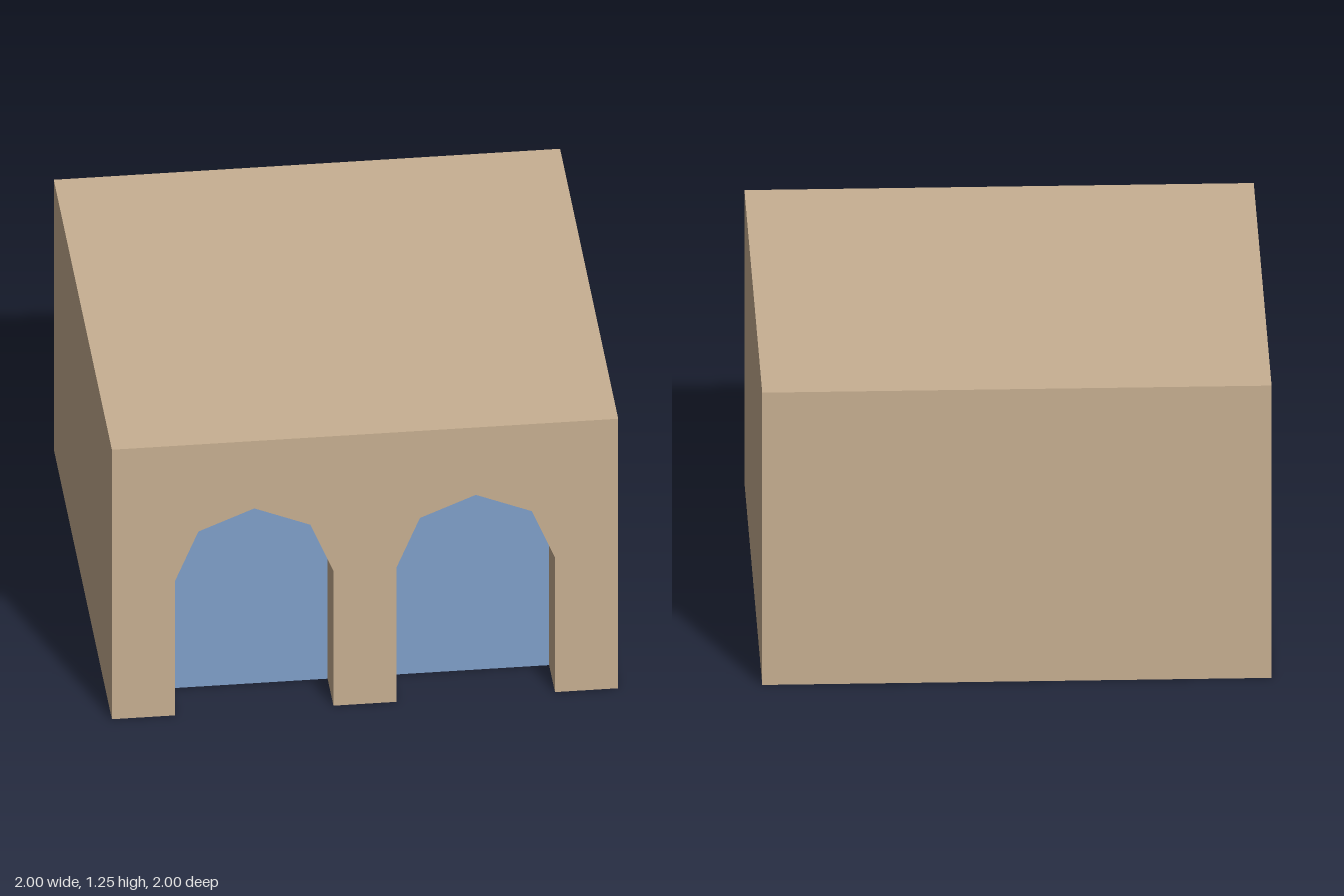
import * as THREE from 'three';

const HEIGHT = 1.25, HALF = 1;
const RECESS = 0.2;                 // depth of the arched recesses
const CENTRES = [-0.4375, 0.4375];  // arch centre lines
const RADIUS = 0.3125, SPRING = 0.625;

// Arch outline from its left foot, over four facets, to its right foot
function archPoints(cx) {
  const points = [new THREE.Vector2(cx - RADIUS, 0)];
  for (let i = 0; i <= 4; i++) {
    const a = Math.PI * (1 - i / 4);
    points.push(new THREE.Vector2(cx + RADIUS * Math.cos(a), SPRING + RADIUS * Math.sin(a)));
  }
  points.push(new THREE.Vector2(cx + RADIUS, 0));
  return points;
}

// Inward-facing strip that runs along the arch from the front to the recess
function revealGeometry(points) {
  const v = [];
  const front = HALF, back = HALF - RECESS;
  for (let i = 0; i < points.length - 1; i++) {
    const a = points[i], b = points[i + 1];
    v.push(a.x, a.y, front, a.x, a.y, back, b.x, b.y, front);
    v.push(b.x, b.y, front, a.x, a.y, back, b.x, b.y, back);
  }
  const geometry = new THREE.BufferGeometry();
  geometry.setAttribute('position', new THREE.Float32BufferAttribute(v, 3));
  geometry.computeVertexNormals();
  return geometry;
}

export function createModel() {
  const group = new THREE.Group();
  group.name = 'arcadeBlock';

  const stone = new THREE.MeshStandardMaterial({ color: 0xc8b092 });
  stone.name = 'sandstone';
  const blue = new THREE.MeshStandardMaterial({ color: 0x80a0ca });
  blue.name = 'blueDoor';

  function add(name, geometry, material = stone) {
    const mesh = new THREE.Mesh(geometry, material);
    mesh.name = name;
    group.add(mesh);
    return mesh;
  }

  // Plain walls and roof
  const wall = () => new THREE.PlaneGeometry(2 * HALF, HEIGHT);
  add('backWall', wall().rotateY(Math.PI).translate(0, HEIGHT / 2, -HALF));
  add('leftWall', wall().rotateY(Math.PI / 2).translate(HALF, HEIGHT / 2, 0));
  add('rightWall', wall().rotateY(-Math.PI / 2).translate(-HALF, HEIGHT / 2, 0));
  add('roof', new THREE.PlaneGeometry(2 * HALF, 2 * HALF)
    .rotateX(-Math.PI / 2).translate(0, HEIGHT, 0));

  // Front wall and underside share the same openings along their front edge
  const facade = [new THREE.Vector2(-HALF, HEIGHT), new THREE.Vector2(-HALF, 0)];
  const base = [new THREE.Vector2(-HALF, -HALF), new THREE.Vector2(-HALF, HALF)];

  for (const cx of CENTRES) {
    const arch = archPoints(cx);
    const side = cx < 0 ? 'right' : 'left';
    facade.push(...arch);
    for (const [dx, z] of [[-1, HALF], [-1, HALF - RECESS], [1, HALF - RECESS], [1, HALF]]) {
      base.push(new THREE.Vector2(cx + dx * RADIUS, z));
    }
    add(side + 'ArchReveal', revealGeometry(arch));
    add(side + 'ArchDoor',
      new THREE.ShapeGeometry(new THREE.Shape(arch)).translate(0, 0, HALF - RECESS), blue);
  }

  facade.push(new THREE.Vector2(HALF, 0), new THREE.Vector2(HALF, HEIGHT));
  base.push(new THREE.Vector2(HALF, HALF), new THREE.Vector2(HALF, -HALF));
  add('frontWall', new THREE.ShapeGeometry(new THREE.Shape(facade)).translate(0, 0, HALF));
  add('underside', new THREE.ShapeGeometry(new THREE.Shape(base)).rotateX(Math.PI / 2));

  return group;
}
